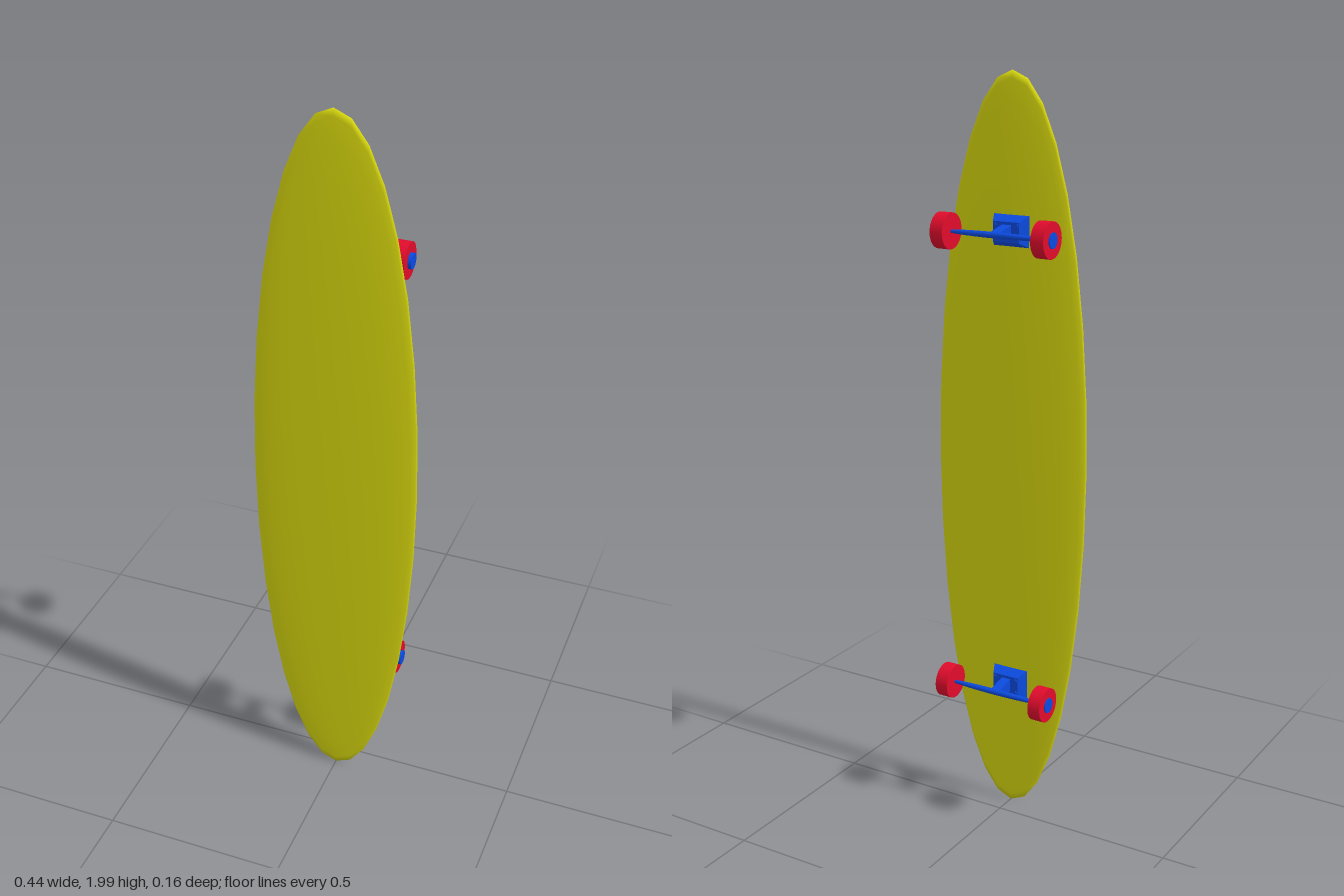
import * as THREE from 'three';

const yellow = new THREE.MeshStandardMaterial({ color: 0xd6d60e });
const blue = new THREE.MeshStandardMaterial({ color: 0x0c4be0 });
const red = new THREE.MeshStandardMaterial({ color: 0xe00c2c });

function add(parent, name, geometry, material, x, y, z) {
  const mesh = new THREE.Mesh(geometry, material);
  mesh.name = name;
  mesh.position.set(x, y, z);
  parent.add(mesh);
  return mesh;
}

// Cylinder lying along x
const rod = (radius, length) =>
  new THREE.CylinderGeometry(radius, radius, length, 32).rotateZ(Math.PI / 2);

// Block that narrows towards its back (-z) face
function taperedBlock(w, h, d, scaleX, scaleY) {
  const geometry = new THREE.BoxGeometry(w, h, d);
  const p = geometry.attributes.position;
  for (let i = 0; i < p.count; i++) {
    if (p.getZ(i) < 0) p.setXY(i, p.getX(i) * scaleX, p.getY(i) * scaleY);
  }
  geometry.computeVertexNormals();
  return geometry;
}

// One truck, its origin level with the axle
function createTruck(name) {
  const truck = new THREE.Group();
  truck.name = name;
  const axleZ = -0.034;
  const midX = -0.006;

  add(truck, 'basePlate', taperedBlock(0.108, 0.086, 0.034, 0.7, 0.6), blue, midX, 0, 0.036);
  add(truck, 'hanger', taperedBlock(0.026, 0.04, 0.062, 1, 0.4), blue, -0.008, 0, -0.004);
  for (const sx of [-1, 1]) {
    for (const sy of [-1, 1]) {
      add(truck, 'bolt', new THREE.CylinderGeometry(0.004, 0.004, 0.012, 12).rotateX(Math.PI / 2),
        blue, midX + sx * 0.032, sy * 0.018, 0.021);
    }
  }

  // Spindle-shaped axle
  add(truck, 'axle', new THREE.SphereGeometry(1, 32, 16).rotateZ(Math.PI / 2).scale(0.15, 0.008, 0.008),
    blue, midX, 0, -0.036);

  // Wheels with hubs showing on the outside
  add(truck, 'leftWheel', rod(0.046, 0.036), red, 0.138, 0, axleZ);
  add(truck, 'rightWheel', rod(0.046, 0.036), red, -0.15, 0, axleZ);
  add(truck, 'leftHub', rod(0.02, 0.04), blue, 0.145, 0, axleZ);
  add(truck, 'rightHub', rod(0.02, 0.04), blue, -0.151, 0, axleZ);
  return truck;
}

export function createModel() {
  const board = new THREE.Group();
  board.name = 'longboard';

  // Flattened oval deck standing on end
  add(board, 'deck', new THREE.SphereGeometry(1, 32, 16).rotateX(Math.PI / 2).scale(0.222, 0.997, 0.0175),
    yellow, 0, 1.003, 0.06);

  for (const [name, y] of [['upperTruck', 1.61], ['lowerTruck', 0.378]]) {
    const truck = createTruck(name);
    truck.position.y = y;
    board.add(truck);
  }
  return board;
}
